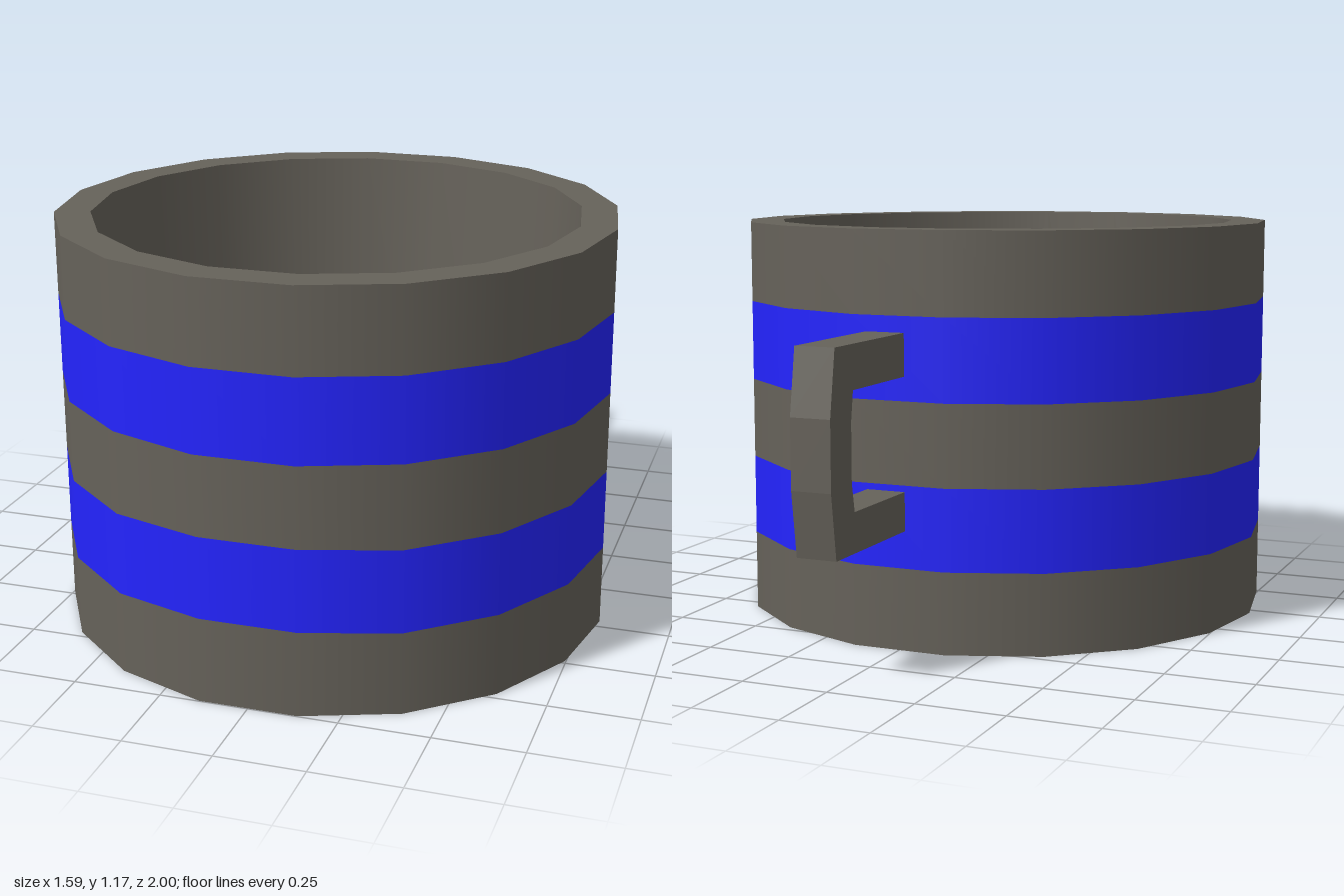
import * as THREE from 'three';

const SIDES = 18, RADIUS = 0.795, RIM = 0.693, FLOOR = 0.64;
const HEIGHT = 1.17, FLOOR_Y = 0.1, BANDS = 5, CENTRE_Z = 0.215;

export function createModel() {
  const group = new THREE.Group();
  const clay = new THREE.MeshStandardMaterial({ color: 0x66625a });
  const blue = new THREE.MeshStandardMaterial({ color: 0x2424ff });

  const add = (name, geometry, material) => {
    const mesh = new THREE.Mesh(geometry, material);
    mesh.name = name;
    group.add(mesh);
    return mesh;
  };

  // Ring of facets between two [radius, height] points, with a flat side facing front
  const ring = (name, from, to, material) => {
    const points = [new THREE.Vector2(...from), new THREE.Vector2(...to)];
    const mesh = add(name, new THREE.LatheGeometry(points, SIDES, Math.PI / SIDES, Math.PI * 2), material);
    mesh.position.z = CENTRE_Z;
    return mesh;
  };

  // Outer wall in stacked bands, every second one blue
  const step = HEIGHT / BANDS;
  for (let i = 0; i < BANDS; i++) {
    const striped = i % 2 === 1;
    const band = ring(striped ? 'blueStripe' : 'wallBand',
      [RADIUS, i * step], [RADIUS, (i + 1) * step], striped ? blue : clay);

    // Slight dent along the front of the lower stripe
    const p = band.geometry.attributes.position;
    for (let v = 0; v < p.count; v++) {
      const y = p.getY(v);
      const onLowerStripe = y > step * 0.5 && y < step * 2.5;
      if (onLowerStripe && p.getZ(v) > RADIUS * 0.95) p.setZ(v, p.getZ(v) - 0.015);
    }
  }

  // Rim, tapered inside, floor and underside
  ring('rim', [RADIUS, HEIGHT], [RIM, HEIGHT], clay);
  ring('innerWall', [RIM, HEIGHT], [FLOOR, FLOOR_Y], clay);
  ring('innerFloor', [FLOOR, FLOOR_Y], [0, FLOOR_Y], clay);
  ring('underside', [0, 0], [RADIUS, 0], clay);

  // Angular handle: side outline as [z, y], extruded across x
  const outline = [
    [-0.56, 0.89], [-0.972, 0.89], [-1, 0.71], [-1, 0.52], [-0.975, 0.34], [-0.56, 0.34],
    [-0.56, 0.45], [-0.87, 0.45], [-0.885, 0.53], [-0.885, 0.69], [-0.873, 0.77], [-0.56, 0.77],
  ];
  const shape = new THREE.Shape(outline.map(([z, y]) => new THREE.Vector2(z, y)));
  const handle = new THREE.ExtrudeGeometry(shape, { depth: 0.115, bevelEnabled: false });
  handle.rotateY(-Math.PI / 2).translate(0.095, 0, 0);
  add('handle', handle, clay);

  return group;
}
